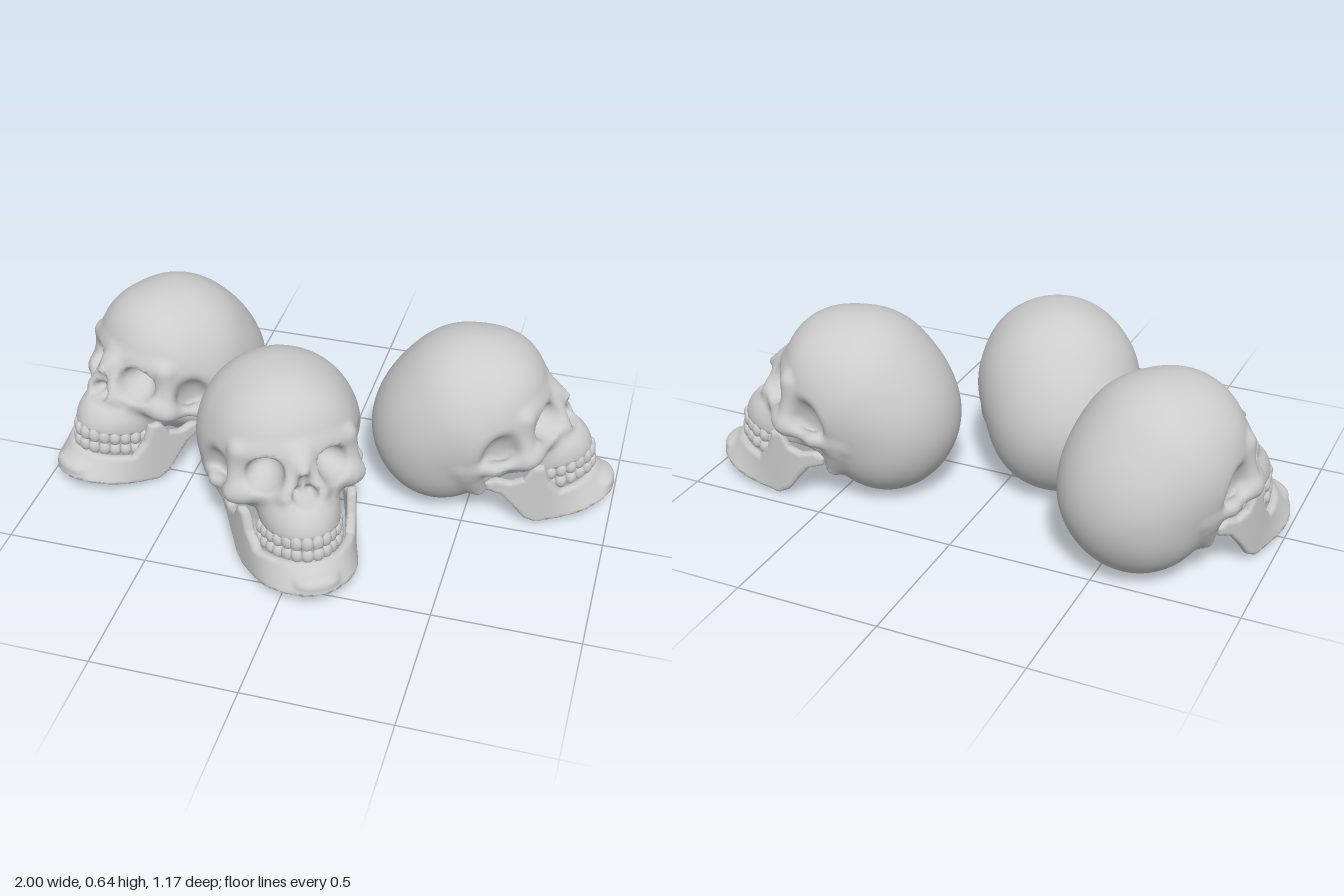
import * as THREE from 'three';

const { clamp, smoothstep, degToRad } = THREE.MathUtils;

// Distance helpers: ellipsoid, tapered bar, polygon, and smooth joining and cutting
function ellipsoid(x, y, z, [cx, cy, cz, rx, ry, rz]) {
  const a = (x - cx) / rx, b = (y - cy) / ry, c = (z - cz) / rz;
  const k0 = Math.hypot(a, b, c), k1 = Math.hypot(a / rx, b / ry, c / rz);
  return k1 < 1e-6 ? -Math.min(rx, ry, rz) : k0 * (k0 - 1) / k1;
}
function bar(x, y, z, [ax, ay, az, bx, by, bz, ra, rb]) {
  const dx = bx - ax, dy = by - ay, dz = bz - az;
  const t = clamp(((x - ax) * dx + (y - ay) * dy + (z - az) * dz) / (dx * dx + dy * dy + dz * dz), 0, 1);
  return Math.hypot(x - ax - t * dx, y - ay - t * dy, z - az - t * dz) - (ra + t * (rb - ra));
}
function polygon(px, py, pts) {
  let d = Infinity, inside = false;
  for (let i = 0, j = pts.length - 1; i < pts.length; j = i++) {
    const [ax, ay] = pts[i], [bx, by] = pts[j];
    const ex = bx - ax, ey = by - ay, wx = px - ax, wy = py - ay;
    const t = clamp((wx * ex + wy * ey) / (ex * ex + ey * ey), 0, 1);
    d = Math.min(d, Math.hypot(wx - t * ex, wy - t * ey));
    if ((ay > py) !== (by > py) && px < ax + (ex * (py - ay)) / ey) inside = !inside;
  }
  return inside ? -d : d;
}
function join(a, b, k) {
  const h = Math.max(k - Math.abs(a - b), 0) / k;
  return Math.min(a, b) - h * h * k / 4;
}
const cut = (a, b, k) => -join(-a, b, k);

// Cranium: centre x, y, z then radii
const VAULT = [
  [0, 0.36, 0.035, 0.283, 0.287, 0.275],  // main vault
  [0, 0.275, -0.075, 0.25, 0.25, 0.225],  // back of the head
  [0, 0.2, -0.04, 0.225, 0.19, 0.19],     // underside
  [0, 0.44, 0.14, 0.215, 0.18, 0.162],    // forehead
];
const FACE = [
  [0, 0.24, 0.14, 0.12, 0.1, 0.18],       // base
  [0, 0.33, 0.245, 0.185, 0.115, 0.125],  // midface
  [0.19, 0.29, 0.255, 0.05, 0.036, 0.045], // cheekbone
];
// Bars: start, end, start and end radius
const BARS = [
  [0.03, 0.455, 0.29, 0.18, 0.445, 0.24, 0.022, 0.02],    // brow
  [0.19, 0.44, 0.23, 0.207, 0.31, 0.245, 0.018, 0.02],    // outer eye rim
  [0.06, 0.325, 0.345, 0.18, 0.305, 0.28, 0.015, 0.02],   // lower eye rim
  [0.022, 0.43, 0.33, 0.055, 0.33, 0.375, 0.015, 0.018],  // side of the nose
  [0, 0.45, 0.31, 0, 0.418, 0.372, 0.024, 0.014],         // nose bridge
  [0.215, 0.282, 0.235, 0.246, 0.265, 0.14, 0.022, 0.014], // cheek arch
  [0.246, 0.265, 0.14, 0.24, 0.255, 0.03, 0.014, 0.018],
  [0.205, 0.22, 0.06, 0.19, 0.135, 0.09, 0.042, 0.024],   // bone behind the ear
];
const HOLLOWS = [
  [0.02, 0.338, 0.42, 0.027, 0.026, 0.075], // nose opening
  [0, 0.365, 0.42, 0.028, 0.052, 0.07],
  [0, 0.19, 0.33, 0.085, 0.05, 0.11],       // palate
  [0, 0.04, 0.03, 0.045, 0.07, 0.055],      // spine opening
];
const bite = (z) => 0.185 + 0.22 * (z - 0.5); // bite line, lower towards the back

function craniumField(side, y, z) {
  const x = Math.abs(side);
  let d = 1;
  for (const e of VAULT) d = join(d, ellipsoid(x, y, z, e), 0.06);
  for (const e of FACE) d = join(d, ellipsoid(x, y, z, e), 0.05);
  const gum = ellipsoid(x, y, z, [0, 0.215, 0.3, 0.137, 0.135, 0.182]);
  d = join(d, cut(gum, y - bite(z) - 0.033, 0.015), 0.04);
  d = cut(d, ellipsoid(x, y, z, [0.245, 0.3, 0.165, 0.045, 0.09, 0.065]), 0.05); // temple hollow
  for (const b of BARS) d = join(d, bar(x, y, z, b), 0.04);
  // eye socket, drooping outwards
  const ex = x - 0.25 * (z - 0.3), ey = y + 0.15 * (x - 0.12);
  d = cut(d, ellipsoid(ex, ey, z, [0.122, 0.387, 0.34, 0.075, 0.058, 0.115]), 0.015);
  for (const e of HOLLOWS) d = cut(d, ellipsoid(x, y, z, e), 0.012);
  return d;
}

// Jaw: a side outline (z, y) crossed with a U-shaped wall
const JAW_SIDE = [
  [0.66, 0.075], [0.5, 0.045], [0.38, 0.018], [0.3, 0.005], [0.255, 0.03], [0.21, 0.09],
  [0.17, 0.135], [0.115, 0.155], [0.11, 0.187], [0.15, 0.198], [0.2, 0.186], [0.245, 0.2],
  [0.275, 0.25], [0.315, 0.245], [0.335, 0.18], [0.375, 0.127], [0.48, 0.138], [0.66, 0.165],
];
function jawField(side, y, z) {
  const x = Math.abs(side);
  const zz = z - 0.9 * (0.1 - y) * smoothstep(z, 0.3, 0.5);
  const wall = Math.abs(ellipsoid(x, 0, zz, [0, 0, 0.1, 0.21, 1, 0.425])) - 0.017;
  const d = cut(wall, -polygon(z, y, JAW_SIDE), 0.014);
  return join(d, ellipsoid(x, y, z, [0, 0.088, 0.538, 0.07, 0.024, 0.035]), 0.03); // chin
}

// Skins a field: one vertex per crossed cell, pulled onto the surface
function skin(field, min, max, cell) {
  const n = min.map((m, i) => Math.ceil((max[i] - m) / cell) + 1);
  const step = [1, n[0], n[0] * n[1]];
  const value = new Float32Array(step[2] * n[2]), vertex = new Int32Array(step[2] * n[2]);
  const each = (from, to, fn) => {
    for (let k = from; k < n[2] - to; k++)
      for (let j = from; j < n[1] - to; j++)
        for (let i = from; i < n[0] - to; i++) fn(i, j, k, i + j * step[1] + k * step[2]);
  };
  each(0, 0, (i, j, k, id) => {
    value[id] = field(min[0] + i * cell, min[1] + j * cell, min[2] + k * cell);
  });
  const slope = ({ x, y, z }, e = 0.003) => new THREE.Vector3(
    field(x + e, y, z) - field(x - e, y, z),
    field(x, y + e, z) - field(x, y - e, z),
    field(x, y, z + e) - field(x, y, z - e)).divideScalar(2 * e);
  const positions = [], normals = [], index = [];
  each(0, 1, (i, j, k, id) => {
    const p = new THREE.Vector3();
    let crossings = 0;
    for (let c = 0; c < 8; c++) for (let a = 0; a < 3; a++) {
      if (c & (1 << a)) continue;
      const corner = [c & 1, (c >> 1) & 1, c >> 2];
      const q = id + corner[0] + corner[1] * step[1] + corner[2] * step[2];
      const v0 = value[q], v1 = value[q + step[a]];
      if ((v0 < 0) === (v1 < 0)) continue;
      corner[a] += v0 / (v0 - v1);
      p.add(new THREE.Vector3(...corner));
      crossings++;
    }
    if (!crossings) return;
    p.divideScalar(crossings).add(new THREE.Vector3(i, j, k)).multiplyScalar(cell);
    p.add(new THREE.Vector3(...min));
    for (let s = 0; s < 2; s++) {
      const g = slope(p), move = field(p.x, p.y, p.z) / Math.max(g.lengthSq(), 0.1);
      p.addScaledVector(g, -clamp(move, -cell * 0.4, cell * 0.4));
    }
    vertex[id] = positions.length / 3;
    positions.push(p.x, p.y, p.z);
    normals.push(...slope(p).normalize().toArray());
  });
  each(1, 1, (i, j, k, id) => {
    for (let a = 0; a < 3; a++) {
      const inside = value[id] < 0;
      if (inside === (value[id + step[a]] < 0)) continue;
      const b = step[(a + 1) % 3], c = step[(a + 2) % 3];
      const q = [id, id - b, id - b - c, id - c].map((m) => vertex[m]);
      if (!inside) q.reverse();
      index.push(q[0], q[1], q[2], q[0], q[2], q[3]);
    }
  });
  const geometry = new THREE.BufferGeometry();
  geometry.setAttribute('position', new THREE.Float32BufferAttribute(positions, 3));
  geometry.setAttribute('normal', new THREE.Float32BufferAttribute(normals, 3));
  return geometry.setIndex(index);
}

export function createModel() {
  const bone = new THREE.MeshStandardMaterial({ color: 0xcccccc, side: THREE.DoubleSide });
  const cranium = skin(craniumField, [-0.325, -0.03, -0.35], [0.325, 0.68, 0.54], 0.0128);
  const jaw = skin(jawField, [-0.27, -0.03, 0.07], [0.27, 0.29, 0.63], 0.0105);
  const tooth = new THREE.SphereGeometry(1, 12, 8);
  const add = (parent, name, geometry) => {
    const mesh = new THREE.Mesh(geometry, bone);
    mesh.name = name;
    parent.add(mesh);
    return mesh;
  };
  // Row of 14 teeth along half an ellipse
  function teeth(parent, name, lift, width, depth, height) {
    const row = new THREE.Group();
    row.name = name;
    const arch = new THREE.EllipseCurve(0, 0.25, width, depth, 0.15, Math.PI - 0.15);
    for (let i = 0; i < 14; i++) {
      const u = (i + 0.5) / 14, p = arch.getPointAt(u), t = arch.getTangentAt(u);
      const mesh = add(row, 'tooth', tooth);
      mesh.position.set(p.x, bite(p.y) + lift, p.y);
      mesh.rotation.y = Math.atan2(-t.y, t.x);
      mesh.scale.set(0.022, height, Math.abs(i - 6.5) > 3 ? 0.022 : 0.016);
    }
    parent.add(row);
  }

  const model = new THREE.Group();
  model.name = 'skulls';
  // x, z and turn of each skull
  for (const [x, z, turn] of [[-0.615, -0.285, -33], [-0.155, 0.08, 31], [0.425, -0.2, 99]]) {
    const skull = new THREE.Group();
    skull.name = 'skull';
    add(skull, 'cranium', cranium);
    add(skull, 'jaw', jaw);
    teeth(skull, 'upperTeeth', 0.024, 0.132, 0.232, 0.029);
    teeth(skull, 'lowerTeeth', -0.022, 0.134, 0.238, 0.027);
    skull.position.set(x, 0, z);
    skull.rotation.y = degToRad(turn);
    model.add(skull);
  }
  // Centre on the ground
  const box = new THREE.Box3().setFromObject(model, true), middle = box.getCenter(new THREE.Vector3());
  model.position.set(-middle.x, -box.min.y, -middle.z);
  return model;
}
